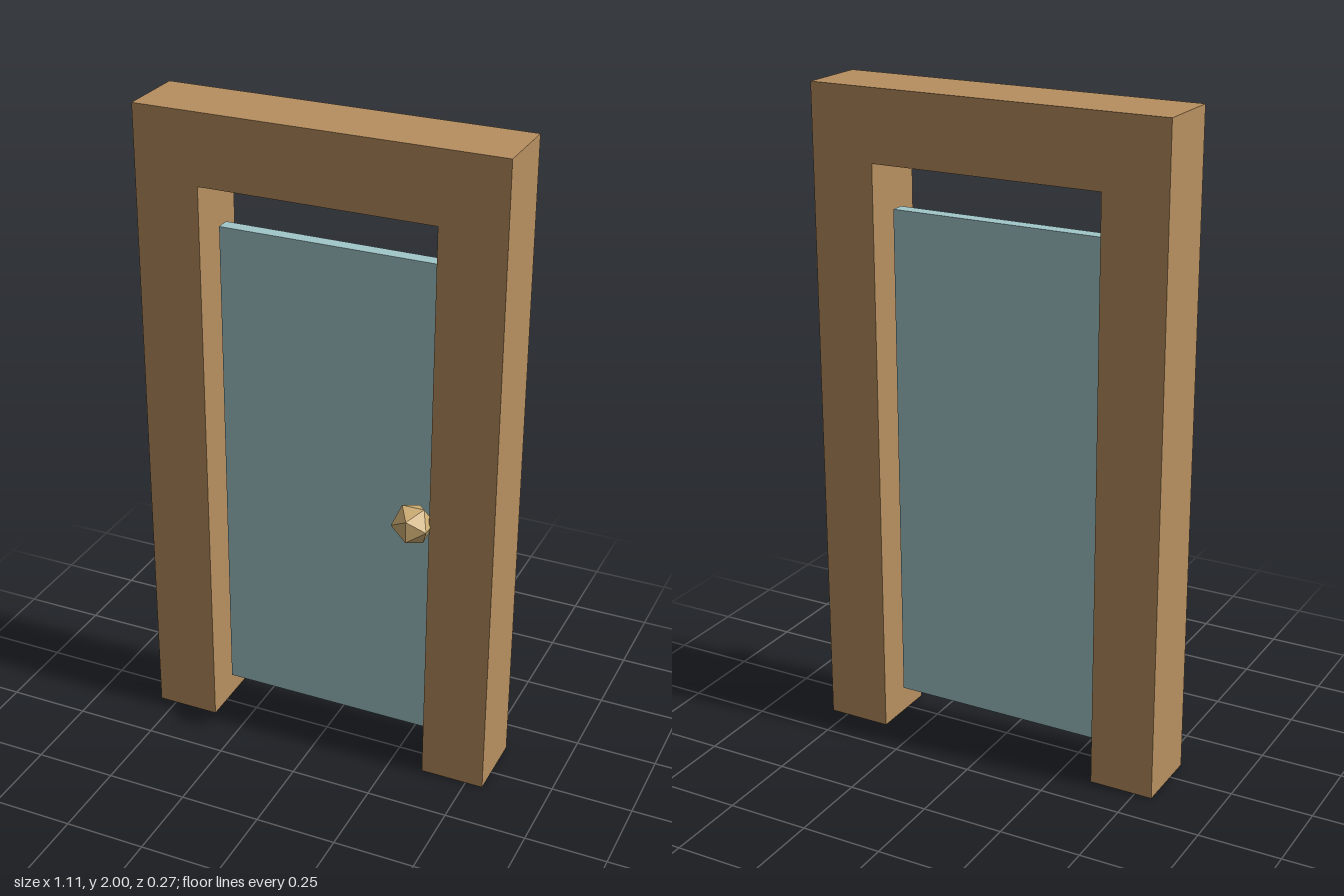
import * as THREE from 'three';

const frameMaterial = new THREE.MeshStandardMaterial({ name: 'warm wood', color: 0xb88f60 });
const panelMaterial = new THREE.MeshStandardMaterial({ name: 'pale teal', color: 0xa2c7ca });
// Flat facets come from the non-indexed polyhedron's own normals
const knobMaterial = new THREE.MeshStandardMaterial({ name: 'brass', color: 0xd2b176 });

function addPart(group, name, geometry, material, x, y, z) {
  const mesh = new THREE.Mesh(geometry, material);
  mesh.name = name;
  mesh.position.set(x, y, z);
  group.add(mesh);
}

export function createModel() {
  const group = new THREE.Group();
  group.name = 'door';

  // Door frame: two posts and a lintel as one seamless arch
  const outer = 0.554, inner = 0.357, height = 2, opening = 1.785;
  const arch = new THREE.Shape([
    [-outer, 0], [-inner, 0], [-inner, opening], [inner, opening],
    [inner, 0], [outer, 0], [outer, height], [-outer, height],
  ].map(([x, y]) => new THREE.Vector2(x, y)));
  const frame = new THREE.ExtrudeGeometry(arch, { depth: 0.217, bevelEnabled: false });
  addPart(group, 'doorFrame', frame, frameMaterial, 0, 0, -0.136);

  // Thin door leaf, set clear of the frame
  addPart(group, 'doorPanel', new THREE.BoxGeometry(0.682, 1.543, 0.043), panelMaterial,
    0, 0.867, -0.031);

  // Faceted knob
  addPart(group, 'doorKnob', new THREE.IcosahedronGeometry(0.064, 0), knobMaterial,
    0.307, 0.867, 0.081);

  return group;
}
